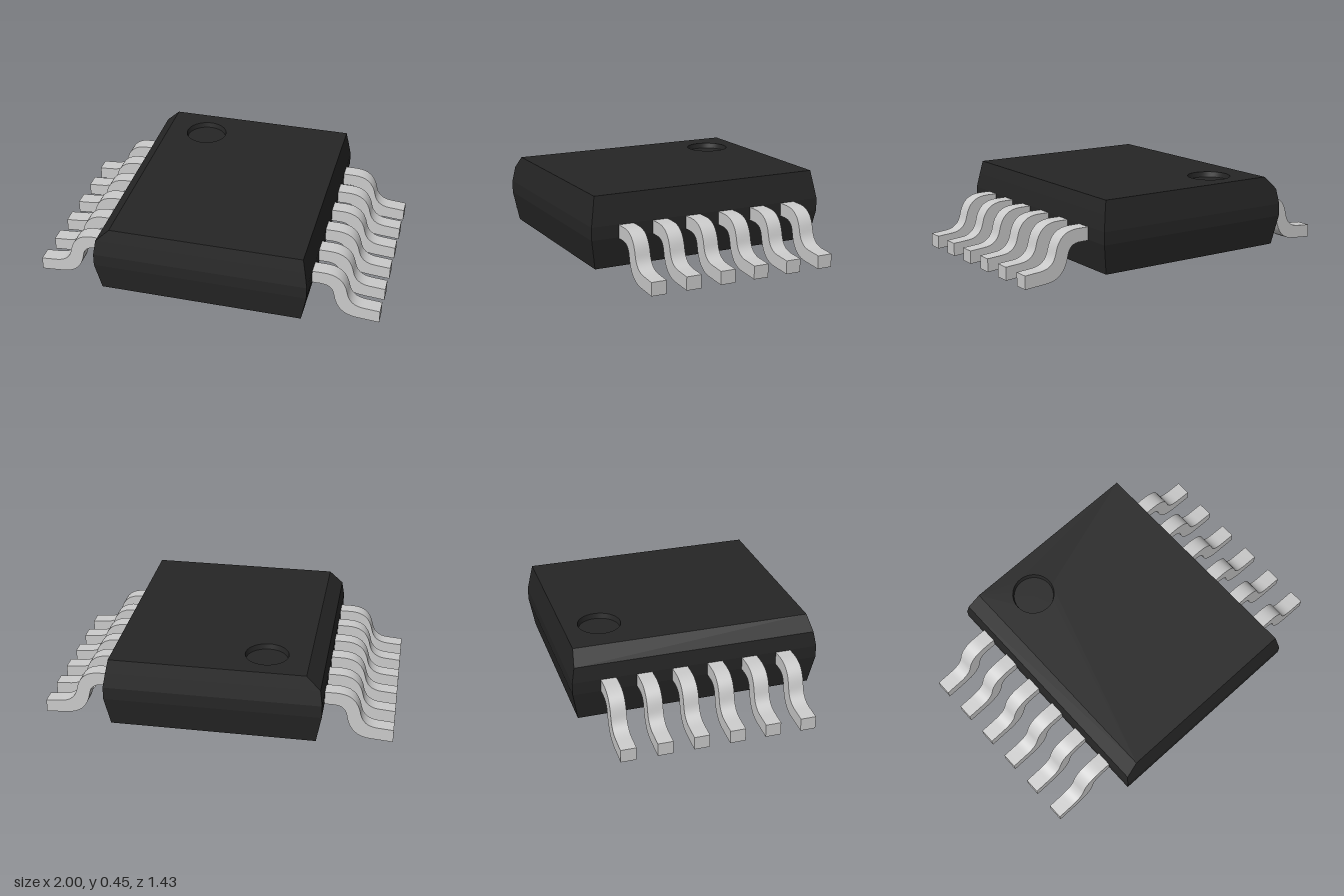
import * as THREE from 'three';
import { toCreasedNormals } from 'three/addons/utils/BufferGeometryUtils.js';

const TOP = 0.45;
const DIMPLE = { x: -0.275, z: -0.475, r: 0.122, depth: 0.03 };

// Package shell: stacked rectangular rings, [y, left edge x, right edge x, half depth]
function shellGeometry() {
  const rings = [
    [0.045, -0.58, 0.58, 0.684],
    [0.215, -0.61, 0.61, 0.714],
    [0.287, -0.61, 0.61, 0.714],
    [0.374, -0.597, 0.595, 0.698],
    [TOP, -0.518, 0.58, 0.684], // bevelled on the pin-one side
  ];
  const positions = [];
  const index = [];
  for (const [y, x0, x1, d] of rings) {
    positions.push(x0, y, d, x1, y, d, x1, y, -d, x0, y, -d);
  }
  for (let r = 0; r < rings.length - 1; r++) {
    for (let i = 0; i < 4; i++) {
      const a = r * 4 + i;
      const b = r * 4 + ((i + 1) % 4);
      index.push(a, b, b + 4, a, b + 4, a + 4);
    }
  }
  index.push(0, 3, 2, 0, 2, 1); // underside
  const geometry = new THREE.BufferGeometry();
  geometry.setAttribute('position', new THREE.Float32BufferAttribute(positions, 3));
  geometry.setIndex(index);
  const flat = geometry.toNonIndexed();
  flat.computeVertexNormals();
  return flat;
}

// Top face with the round opening for the dimple
function topGeometry() {
  const shape = new THREE.Shape();
  shape.moveTo(-0.518, -0.684).lineTo(0.58, -0.684).lineTo(0.58, 0.684).lineTo(-0.518, 0.684);
  shape.closePath();
  const hole = new THREE.Path();
  hole.absarc(DIMPLE.x, -DIMPLE.z, DIMPLE.r, 0, Math.PI * 2, true);
  shape.holes.push(hole);
  return new THREE.ShapeGeometry(shape, 24).rotateX(-Math.PI / 2).translate(0, TOP, 0);
}

// Shallow dimple: flat floor and slightly sloped wall
function dimpleGeometry() {
  const { x, z, r, depth } = DIMPLE;
  const profile = [
    new THREE.Vector2(0, -depth),
    new THREE.Vector2(r - 0.006, -depth),
    new THREE.Vector2(r, 0),
  ];
  return toCreasedNormals(new THREE.LatheGeometry(profile, 48), 0.6).translate(x, TOP, z);
}

// Gull-wing pin: S-shaped side profile, extruded to the pin width
function pinGeometry() {
  const width = 0.088;
  const s = new THREE.Shape();
  s.moveTo(0.59, 0.21);
  s.lineTo(0.655, 0.21);
  s.bezierCurveTo(0.71, 0.21, 0.73, 0.185, 0.737, 0.145);
  s.bezierCurveTo(0.752, 0.06, 0.795, 0.014, 0.88, 0.01);
  s.lineTo(1, 0.001);
  s.lineTo(1, 0.076);
  s.lineTo(0.91, 0.083);
  s.bezierCurveTo(0.85, 0.087, 0.822, 0.12, 0.812, 0.165);
  s.bezierCurveTo(0.795, 0.25, 0.75, 0.285, 0.67, 0.285);
  s.lineTo(0.59, 0.285);
  s.closePath();
  const geometry = new THREE.ExtrudeGeometry(s, { depth: width, bevelEnabled: false, curveSegments: 8 });
  return toCreasedNormals(geometry.translate(0, 0, -width / 2), 0.6);
}

export function createModel() {
  const model = new THREE.Group();
  model.name = 'chipPackage';
  const plastic = new THREE.MeshStandardMaterial({ color: 0x262626 });
  const inside = new THREE.MeshStandardMaterial({ color: 0x262626, side: THREE.DoubleSide });
  const metal = new THREE.MeshStandardMaterial({ color: 0xcccccc });

  const add = (parent, name, geometry, material) => {
    const mesh = new THREE.Mesh(geometry, material);
    mesh.name = name;
    parent.add(mesh);
    return mesh;
  };

  const body = new THREE.Group();
  body.name = 'body';
  add(body, 'shell', shellGeometry(), plastic);
  add(body, 'topFace', topGeometry(), plastic);
  add(body, 'pinOneDimple', dimpleGeometry(), inside);
  model.add(body);

  // Six pins along each side
  const pin = pinGeometry();
  for (const side of ['left', 'right']) {
    const row = new THREE.Group();
    row.name = side + 'Pins';
    if (side === 'right') row.rotation.y = Math.PI;
    for (let i = 0; i < 6; i++) {
      add(row, side + 'Pin' + (i + 1), pin, metal).position.z = (i - 2.5) * 0.2045;
    }
    model.add(row);
  }
  return model;
}
